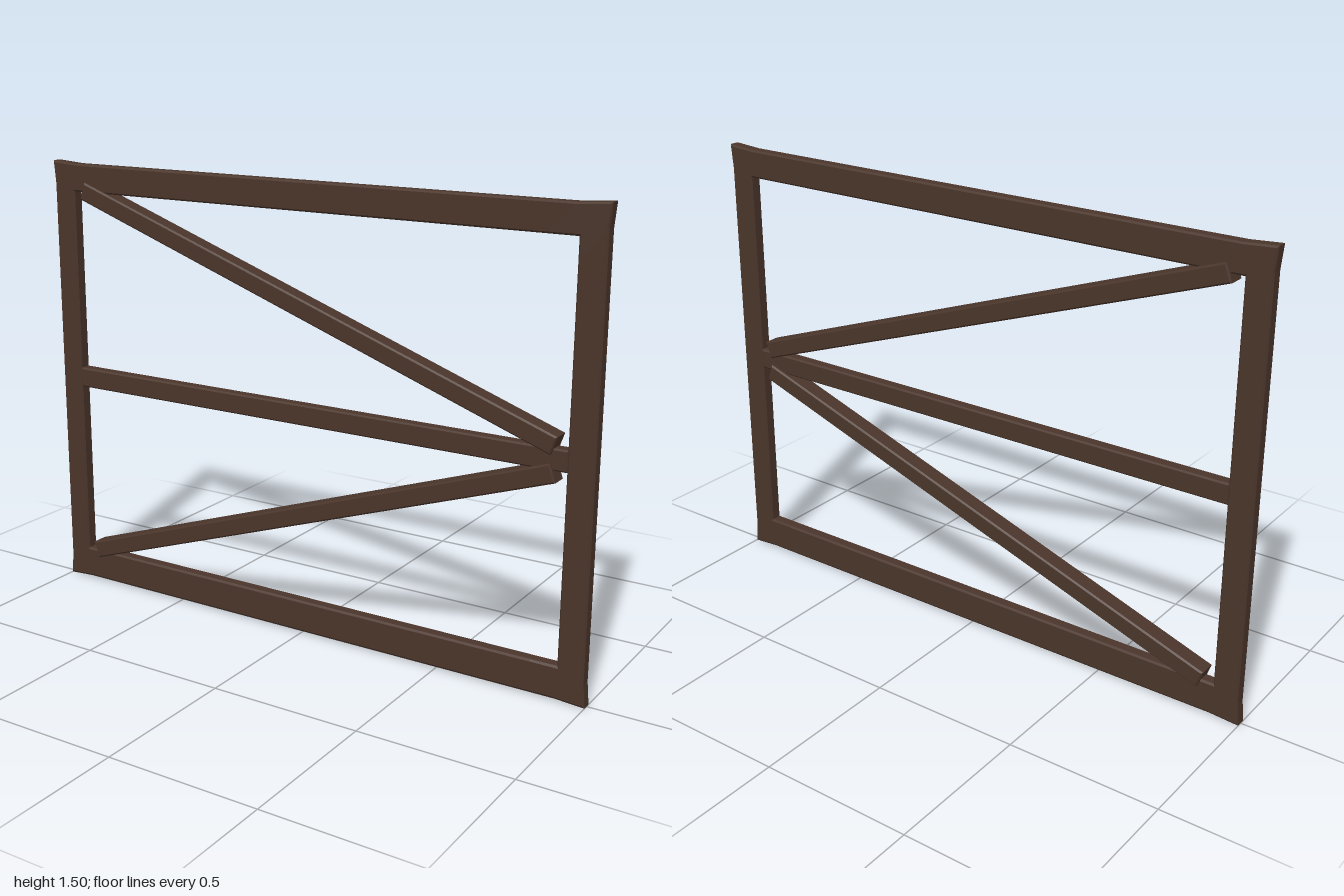
import * as THREE from 'three';

const wood = new THREE.MeshStandardMaterial({ color: 0x4a352a, flatShading: true });

// Straight bar between two points in the XY plane, with chamfered edges
function brace(name, [x0, y0], [x1, y1], width, depth) {
  const c = 0.005;
  const len = Math.hypot(x1 - x0, y1 - y0);
  const a = len / 2 - c, b = width / 2 - c;
  const shape = new THREE.Shape([[-a, -b], [a, -b], [a, b], [-a, b]].map(p => new THREE.Vector2(...p)));
  const geo = new THREE.ExtrudeGeometry(shape, {
    depth: depth - 2 * c, bevelEnabled: true, bevelThickness: c, bevelSize: c, bevelSegments: 1,
  });
  geo.translate(0, 0, c - depth / 2);
  const mesh = new THREE.Mesh(geo, wood);
  mesh.name = name;
  mesh.position.set((x0 + x1) / 2, (y0 + y1) / 2, 0);
  mesh.rotation.z = Math.atan2(y1 - y0, x1 - x0);
  return mesh;
}

// Mitred frame member: a chamfered section swept between two corners,
// slightly waisted on its outer side so the corners flare out
function frameMember(name, from, to) {
  const d = 0.021, c = 0.005, s = 0.06;
  // section points: [0 = inner edge .. 1 = outer edge, z]
  const section = [[0, -d + c], [s, -d], [1 - s, -d], [1, -d + c], [1, d - c], [1 - s, d], [s, d], [0, d - c]];
  const stations = [[0, 0], [0.05, 0.007], [0.95, 0.007], [1, 0]];
  const dir = to.outer.clone().sub(from.outer).normalize();
  const outward = new THREE.Vector2(dir.y, -dir.x);
  const pos = [], index = [], n = section.length;
  for (const [t, waist] of stations) {
    const inner = from.inner.clone().lerp(to.inner, t);
    const outer = from.outer.clone().lerp(to.outer, t).addScaledVector(outward, -waist);
    for (const [u, z] of section) {
      const p = inner.clone().lerp(outer, u);
      pos.push(p.x, p.y, z);
    }
  }
  for (let i = 0; i < stations.length - 1; i++) {
    for (let j = 0; j < n; j++) {
      const a = i * n + j, b = i * n + (j + 1) % n;
      index.push(a, a + n, b, b, a + n, b + n);
    }
  }
  const geo = new THREE.BufferGeometry();
  geo.setAttribute('position', new THREE.Float32BufferAttribute(pos, 3));
  geo.setIndex(index);
  const flat = geo.toNonIndexed();
  flat.computeVertexNormals();
  const mesh = new THREE.Mesh(flat, wood);
  mesh.name = name;
  return mesh;
}

export function createModel() {
  const gate = new THREE.Group();
  gate.name = 'gate';

  // Outer frame, corners listed counter-clockwise
  const corner = (ox, oy, ix, iy) => ({ outer: new THREE.Vector2(ox, oy), inner: new THREE.Vector2(ix, iy) });
  const corners = [
    corner(-1, 0.005, -0.91, 0.12),
    corner(1, 0.005, 0.908, 0.12),
    corner(1, 1.505, 0.908, 1.405),
    corner(-1, 1.505, -0.91, 1.405),
  ];
  const names = ['bottomRail', 'leftPost', 'topRail', 'rightPost'];
  const frame = new THREE.Group();
  frame.name = 'frame';
  names.forEach((name, i) => frame.add(frameMember(name, corners[i], corners[(i + 1) % 4])));
  gate.add(frame);

  // Middle rail and the two diagonals that converge on the left post
  gate.add(brace('middleRail', [-0.912, 0.757], [0.91, 0.757], 0.068, 0.042));
  gate.add(brace('upperBrace', [-0.868, 1.41], [0.868, 0.8], 0.06, 0.064));
  gate.add(brace('lowerBrace', [-0.868, 0.123], [0.868, 0.718], 0.06, 0.064));
  return gate;
}
